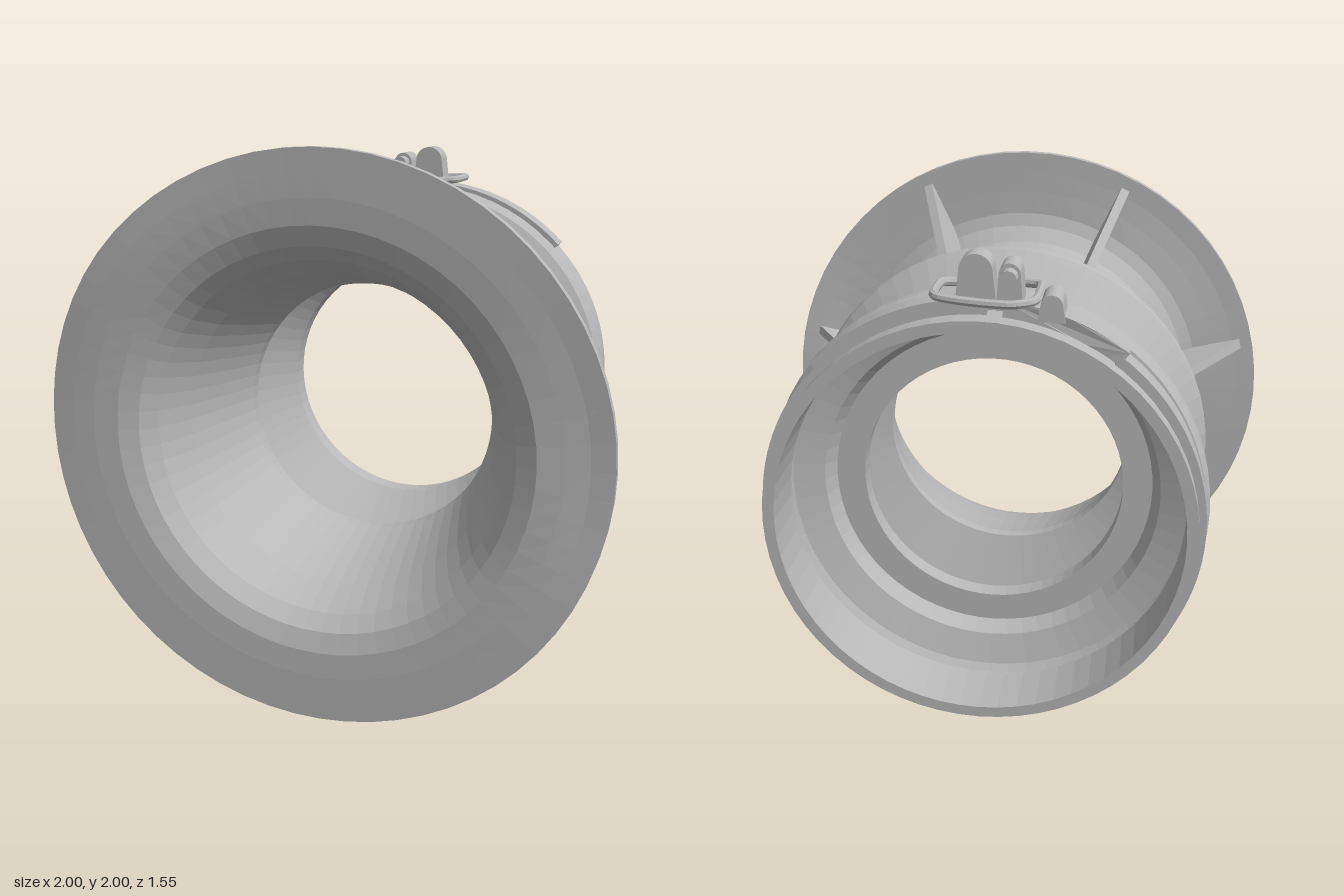
import * as THREE from 'three';

export function createModel() {
  const model = new THREE.Group();
  const body = new THREE.MeshStandardMaterial({ color: 0xb8b8b8, flatShading: true });

  const add = (name, geometry, parent = model) => {
    const mesh = new THREE.Mesh(geometry, body);
    mesh.name = name;
    parent.add(mesh);
    return mesh;
  };

  // All parts are built around the z axis, then lifted to stand on y = 0
  model.name = 'ductAdapter';
  const assembly = new THREE.Group();
  assembly.name = 'assembly';
  assembly.position.y = 1;
  model.add(assembly);

  // Hollow body: [radius, z], outside from back to front, then inside back again
  const outside = [
    [0.70, -0.77], [0.74, -0.77], [0.74, -0.71], [0.73, -0.71], [0.73, -0.59], [0.74, -0.59], [0.74, -0.555],
    [0.765, -0.55], [0.78, -0.525], [0.78, -0.485], [0.765, -0.455], [0.73, -0.437], [0.64, -0.41],
    [0.61, -0.34], [0.495, -0.34], [0.495, -0.30], [0.755, -0.005], [0.772, 0.015], [0.777, 0.035],
    [0.768, 0.055], [0.745, 0.07], [0.50, 0.13], [0.50, 0.19], [0.517, 0.27], [0.545, 0.40],
    [0.59, 0.54], [0.645, 0.64], [0.70, 0.69], [0.75, 0.708], [0.84, 0.71], [0.92, 0.71], [1, 0.71],
  ];
  const inside = [
    [1, 0.745], [0.92, 0.745], [0.84, 0.745], [0.75, 0.74], [0.68, 0.715], [0.63, 0.66], [0.57, 0.53],
    [0.52, 0.36], [0.475, 0.17], [0.475, 0.13], [0.72, 0.055], [0.745, 0.035], [0.735, 0.005],
    [0.475, -0.29], [0.475, -0.36], [0.58, -0.36], [0.61, -0.42], [0.72, -0.455], [0.745, -0.475],
    [0.745, -0.525], [0.70, -0.555], [0.70, -0.77],
  ];
  const shell = new THREE.LatheGeometry(
    [...outside, ...inside].map(([r, z]) => new THREE.Vector2(r, z)), 64);
  shell.rotateX(Math.PI / 2);

  // Gentle warp of the front flange: one raised and one recessed stretch
  const bump = (angle, centre, width) => {
    const d = Math.atan2(Math.sin(angle - centre), Math.cos(angle - centre));
    return Math.exp(-((d / width) ** 2));
  };
  const p = shell.attributes.position;
  for (let i = 0; i < p.count; i++) {
    const x = p.getX(i), y = p.getY(i), z = p.getZ(i);
    if (z < 0.6) continue;
    const a = Math.atan2(y, x);
    const k = THREE.MathUtils.smoothstep(Math.hypot(x, y), 0.68, 0.97);
    p.setZ(i, z + k * (0.028 * bump(a, 2.46, 0.5) - 0.036 * bump(a, 0, 0.45)));
  }
  add('hollowBody', shell, assembly);

  // Extrudes an outline and centres it on its depth
  const plate = (shape, depth, curveSegments = 12) =>
    new THREE.ExtrudeGeometry(shape, { depth, bevelEnabled: false, curveSegments }).translate(0, 0, -depth / 2);

  // Seven stiffening ribs behind the flange, one pointing straight down
  const ribShape = new THREE.Shape([
    [0.485, 0.175], [0.505, 0.175], [0.95, 0.70], [0.95, 0.718], [0.75, 0.718],
    [0.69, 0.695], [0.58, 0.54], [0.535, 0.40], [0.505, 0.27],
  ].map(([r, z]) => new THREE.Vector2(r, z)));
  const ribGeometry = plate(ribShape, 0.036).rotateX(Math.PI / 2);
  for (let i = 0; i < 7; i++) {
    add('rib', ribGeometry, assembly).rotation.z = -Math.PI / 2 + (i * Math.PI * 2) / 7;
  }

  // Curved strap around the axis between two angles in degrees
  const strap = (r0, r1, from, to, width, segments = 16) => {
    const a = THREE.MathUtils.degToRad(from), b = THREE.MathUtils.degToRad(to);
    const shape = new THREE.Shape();
    shape.absarc(0, 0, r1, a, b, false);
    shape.absarc(0, 0, r0, b, a, true);
    return plate(shape, width, segments);
  };

  const clamp = new THREE.Group();
  clamp.name = 'clamp';
  clamp.position.z = -0.635;
  assembly.add(clamp);

  // Clamp band in the rear groove, and the strap that ends at the hook
  add('clampBand', strap(0.725, 0.765, 127, 405, 0.09, 48), clamp);
  add('hookStrap', strap(0.735, 0.785, 44, 92, 0.096), clamp);

  // Lever strap, narrowing towards its free end
  const lever = strap(0.735, 0.79, 96, 128, 0.11);
  const lp = lever.attributes.position;
  for (let i = 0; i < lp.count; i++) {
    const a = Math.atan2(lp.getY(i), lp.getX(i));
    lp.setZ(i, lp.getZ(i) * (1 - 0.2 * THREE.MathUtils.smoothstep(a, 1.95, 2.2)));
  }
  add('leverStrap', lever, clamp);

  // Rounded lug standing on the strap
  const lug = (x, base, top, r, width) => {
    const shape = new THREE.Shape();
    shape.moveTo(x - r * 1.25, base);
    shape.lineTo(x + r * 1.25, base);
    shape.lineTo(x + r, top - r);
    shape.absarc(x, top - r, r, 0, Math.PI, false);
    return plate(shape, width);
  };
  add('hookLug', lug(0.01, 0.75, 0.93, 0.055, 0.085), clamp);
  add('leverLug', lug(-0.10, 0.75, 0.905, 0.035, 0.1), clamp);
  add('leverBlock', lug(-0.235, 0.72, 0.81, 0.036, 0.125), clamp);

  // Small side pin beside the lever lug
  const pin = new THREE.CylinderGeometry(0.028, 0.028, 0.2, 12).rotateX(Math.PI / 2);
  add('leverPin', pin.translate(-0.10, 0.865, 0.005), clamp);

  // Wire loop joining the lever to the hook
  const half = [[-0.19, 0.07], [-0.175, 0.105], [-0.11, 0.13], [0, 0.12], [0.09, 0.10], [0.14, 0.07]];
  const loop = [...half, ...half.map(([x, z]) => [x, -z]).reverse()]
    .map(([x, z]) => new THREE.Vector3(x, 0.795 + 0.012 * Math.cos(z * 12), z));
  const wire = new THREE.CatmullRomCurve3(loop, true, 'catmullrom', 0.4);
  add('wireLoop', new THREE.TubeGeometry(wire, 64, 0.015, 8, true), clamp);

  return model;
}
